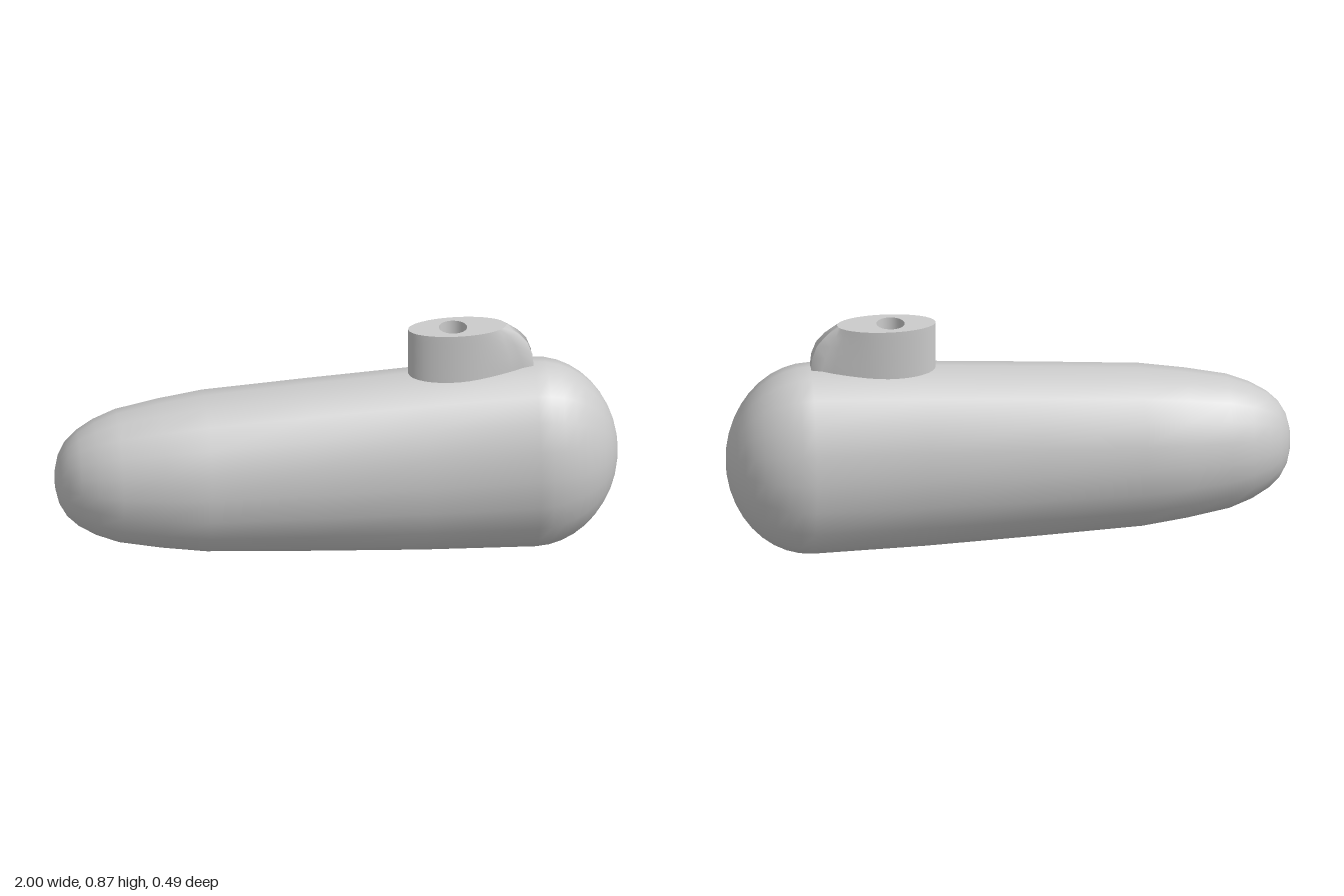
import * as THREE from 'three';

const material = new THREE.MeshStandardMaterial({ color: 0xcccccc });

// Smooth skin over closed rings of [x, y, z] points
function loft(rings, name) {
  const n = rings[0].length, index = [];
  for (let j = 0; j < rings.length - 1; j++) {
    for (let i = 0; i < n; i++) {
      const a = j * n + i, b = j * n + (i + 1) % n;
      index.push(a, b, a + n, b, b + n, a + n);
    }
  }
  const geometry = new THREE.BufferGeometry();
  geometry.setAttribute('position', new THREE.Float32BufferAttribute(rings.flat(2), 3));
  geometry.setIndex(index);
  geometry.computeVertexNormals();
  return addName(geometry, name);
}

function addName(geometry, name, mat = material) {
  const mesh = new THREE.Mesh(geometry, mat);
  mesh.name = name;
  return mesh;
}

// Body: 20-sided elliptical sections, [x, half height, half width]
function createBody() {
  const sections = [
    [-1, 0.001, 0.001], [-0.998, 0.04, 0.028], [-0.985, 0.095, 0.067], [-0.96, 0.14, 0.102],
    [-0.92, 0.178, 0.137], [-0.86, 0.214, 0.168], [-0.78, 0.245, 0.198], [-0.63, 0.274, 0.223],
    [-0.47, 0.297, 0.243], [-0.1, 0.32, 0.244], [0.3, 0.342, 0.245], [0.7, 0.356, 0.243],
  ];
  // Blunt rounded nose
  for (let k = 1; k <= 10; k++) {
    const a = (k / 10) * Math.PI / 2;
    const c = Math.max(Math.cos(a), 0.003);
    sections.push([0.7 + 0.3 * Math.sin(a), 0.356 * c, 0.243 * c]);
  }
  const rings = sections.map(([x, ry, rz]) => Array.from({ length: 20 }, (_, i) => {
    const t = (i / 20) * Math.PI * 2;
    return [x, 0.357 + ry * Math.cos(t), rz * Math.sin(t)];
  }));
  return loft(rings, 'body');
}

// Neck: elliptical post whose trailing edge flares into a narrow blunt tail
function createNeck() {
  const group = new THREE.Group();
  group.name = 'neck';
  const cx = 0.431, rx = 0.175, rz = 0.076, top = 0.868, n = 32;
  const levels = [[top, 0], [0.835, 0.29], [0.8, 0.56], [0.755, 0.82], [0.71, 1], [0.64, 1]];
  const rings = levels.map(([y, flare]) => Array.from({ length: n }, (_, i) => {
    const t = (i / n) * Math.PI * 2, c = Math.cos(t);
    let x = cx + rx * c + 0.094 * flare * Math.max(c, 0) ** 4;
    let z = rz * Math.sin(t);
    if (i === 1 || i === n - 1) {
      x += (0.7 - x) * flare;
      z += (Math.sign(z) * 0.023 - z) * flare;
    }
    return [x, y, z];
  }));
  group.add(loft(rings, 'neckSide'));

  // Flat top with a round socket
  const hx = 0.416, hr = 0.05, floor = 0.71;
  const shape = new THREE.Shape(rings[0].map(([x, , z]) => new THREE.Vector2(x, z)));
  const hole = new THREE.Path();
  hole.absarc(hx, 0, hr, 0, Math.PI * 2, true);
  shape.holes.push(hole);
  const cap = addName(new THREE.ShapeGeometry(shape, 16), 'neckTop');
  cap.rotation.x = -Math.PI / 2;
  cap.position.y = top;

  const inside = material.clone();
  inside.side = THREE.BackSide;
  const wall = addName(new THREE.CylinderGeometry(hr, hr, top - floor, 32, 1, true), 'socketWall', inside);
  wall.position.set(hx, (top + floor) / 2, 0);
  const base = addName(new THREE.CircleGeometry(hr, 32), 'socketFloor');
  base.rotation.x = -Math.PI / 2;
  base.position.set(hx, floor, 0);
  group.add(cap, wall, base);
  return group;
}

export function createModel() {
  const model = new THREE.Group();
  model.name = 'model';
  model.add(createBody(), createNeck());
  return model;
}
